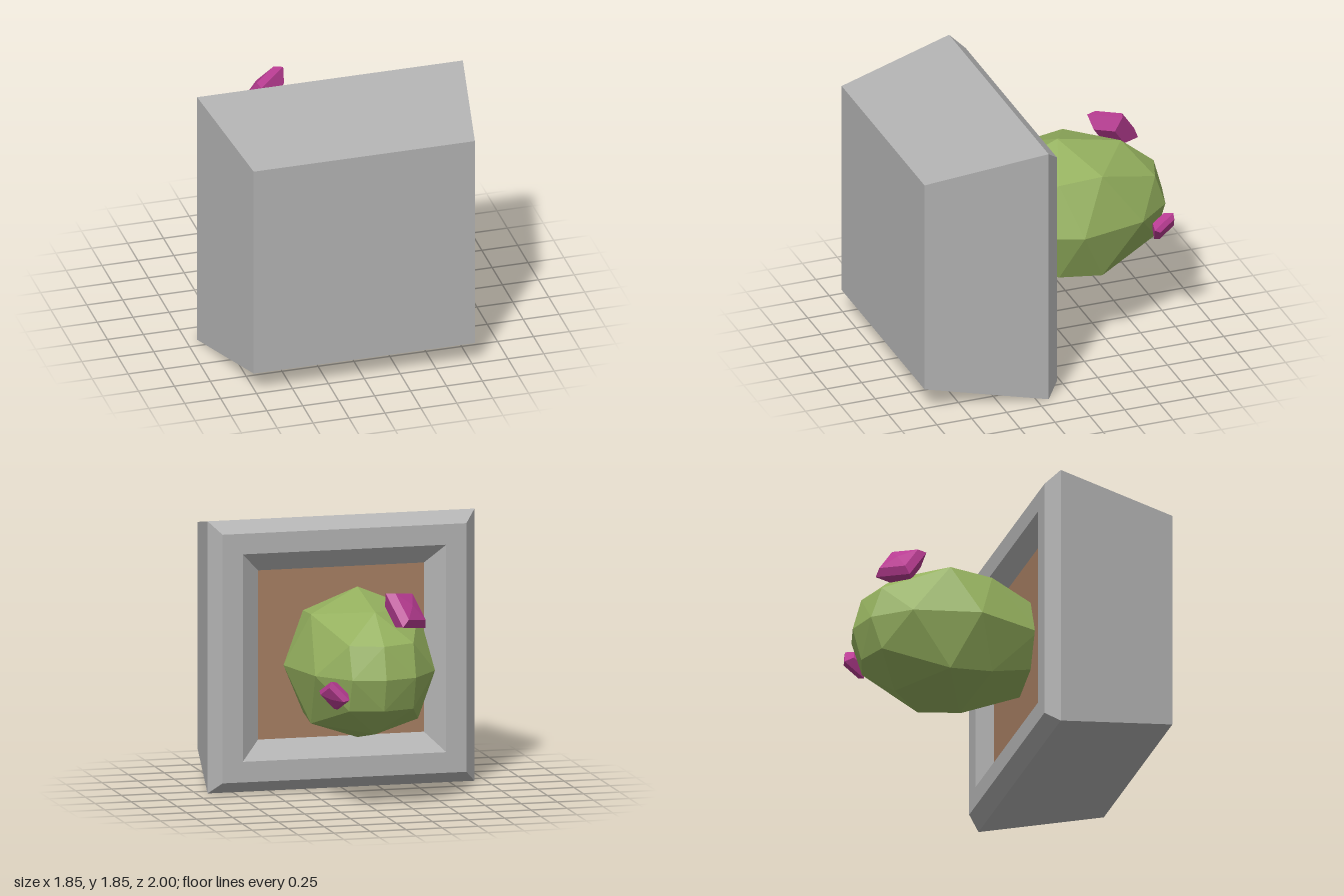
import * as THREE from 'three';
import { ConvexGeometry } from 'three/addons/geometries/ConvexGeometry.js';

const stone = new THREE.MeshStandardMaterial({ color: 0xb2b2b2 });
stone.name = 'potGrey';
const earth = new THREE.MeshStandardMaterial({ color: 0xa67e62 });
earth.name = 'soilBrown';
const green = new THREE.MeshStandardMaterial({ color: 0x94b05e });
green.name = 'cactusGreen';
const pink = new THREE.MeshStandardMaterial({ color: 0xb83c92 });
pink.name = 'flowerPink';

const MID = 0.925; // height of the pot's axis

// Square-section turned solid: profile of [half width, height], faceted
function squareLathe(profile) {
  const pts = profile.map(([h, y]) => new THREE.Vector2(h * Math.SQRT2, y));
  const geo = new THREE.LatheGeometry(pts, 4).rotateY(Math.PI / 4).toNonIndexed();
  geo.computeVertexNormals();
  return geo;
}

function addMesh(parent, name, geo, mat) {
  const mesh = new THREE.Mesh(geo, mat);
  mesh.name = name;
  parent.add(mesh);
  return mesh;
}

// Gem-like square flower; n points outward, u runs along one edge
function addFlower(parent, name, center, n, u, half) {
  const geo = squareLathe([
    [0, -0.6], [0.6, -0.6], [1, 0], [0.76, 0.36], [0, 0.5],
  ]);
  const flower = addMesh(parent, name, geo, pink);
  const up = new THREE.Vector3(...n).normalize();
  const side = new THREE.Vector3(...u);
  side.addScaledVector(up, -side.dot(up)).normalize();
  const third = new THREE.Vector3().crossVectors(side, up);
  flower.quaternion.setFromRotationMatrix(new THREE.Matrix4().makeBasis(side, up, third));
  flower.position.set(...center);
  flower.scale.setScalar(half);
}

export function createModel() {
  const model = new THREE.Group();
  model.name = 'pottedCactus';

  // Tapered square pot lying on its side, opening toward -z
  const pot = squareLathe([
    [0, -1], [0.77, -1], [0.925, -0.17], [0.845, -0.08], [0.705, -0.08], [0.575, -0.17],
  ]).rotateX(-Math.PI / 2);
  addMesh(model, 'pot', pot, stone).position.y = MID;

  // Soil inside the rim
  const soil = new THREE.PlaneGeometry(1.15, 1.15).rotateY(Math.PI);
  addMesh(model, 'soil', soil, earth).position.set(0, MID, 0.17);

  // Cactus body: rings of four, alternately on the axes and the diagonals
  const points = [new THREE.Vector3(0, 0, -1)];
  const rings = [ // radius, z, on diagonal
    [0.22, -0.94, 0], [0.315, -0.865, 1], [0.415, -0.705, 0], [0.525, -0.43, 1],
    [0.512, -0.25, 0], [0.488, -0.13, 1], [0.33, 0.2, 0], [0.335, 0.2, 1],
  ];
  for (const [r, z, diagonal] of rings) {
    for (let i = 0; i < 4; i++) {
      const a = (i + diagonal / 2) * Math.PI / 2;
      points.push(new THREE.Vector3(r * Math.cos(a), r * Math.sin(a), z));
    }
  }
  addMesh(model, 'cactusBody', new ConvexGeometry(points), green).position.y = MID;

  // Flowers
  addFlower(model, 'largeFlower', [-0.205, 1.345, -0.725], [-0.59, 0.59, -0.54], [-0.08, -0.205, -0.14], 0.135);
  addFlower(model, 'smallFlower', [0.33, 0.82, -0.885], [0.7, -0.5, -0.48], [0.116, 0.125, 0.04], 0.088);

  return model;
}
